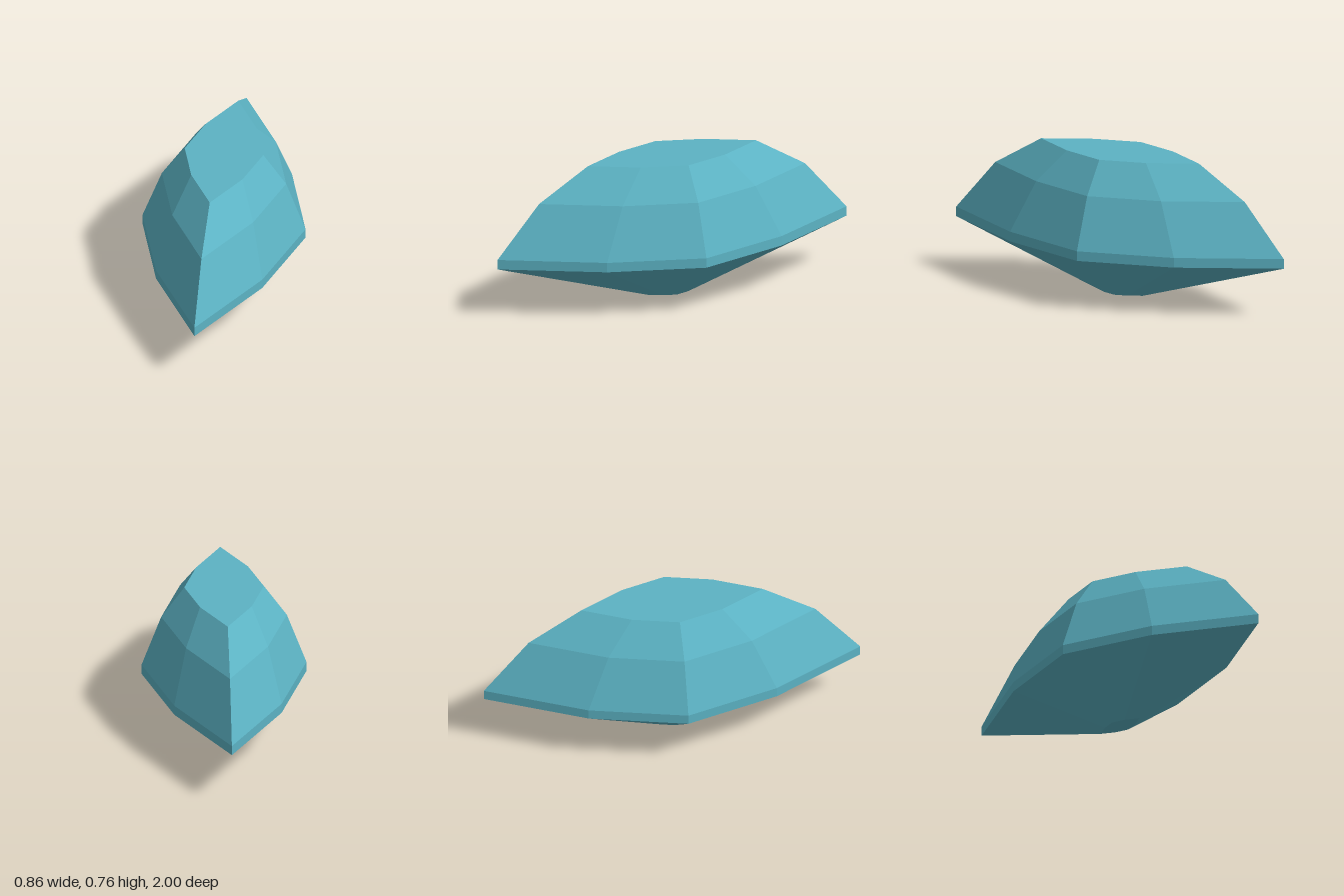
import * as THREE from 'three';

// Marquise outline as [x, z], anticlockwise seen from above
const OUTLINE = [[0, 1], [0.28, 0.5], [0.43, 0], [0.28, -0.5], [0, -1], [-0.28, -0.5], [-0.43, 0], [-0.28, 0.5]];

// The outline scaled about the vertical axis at one height
const ring = (y, scale) => OUTLINE.map(([x, z]) => [x * scale, y, z * scale]);

function facets(name, triangles, material) {
  const geometry = new THREE.BufferGeometry();
  geometry.setAttribute('position', new THREE.Float32BufferAttribute(triangles.flat(), 3));
  geometry.computeVertexNormals();
  const mesh = new THREE.Mesh(geometry, material);
  mesh.name = name;
  return mesh;
}

// Flat facets joining a lower ring to an upper ring
function band(lower, upper) {
  return lower.flatMap((a, i) => {
    const j = (i + 1) % lower.length;
    return [a, lower[j], upper[j], a, upper[j], upper[i]];
  });
}

// Flat cap over a ring, facing up or down
function cap(points, up) {
  const y = points[0][1];
  return points.flatMap((a, i) => {
    const b = points[(i + 1) % points.length];
    return up ? [[0, y, 0], a, b] : [[0, y, 0], b, a];
  });
}

export function createModel() {
  const group = new THREE.Group();
  group.name = 'marquiseGem';
  const material = new THREE.MeshStandardMaterial({ color: 0x5cb3c4, flatShading: true });

  const culet = ring(0, 0.14);
  const girdleLow = ring(0.268, 1);
  const girdleHigh = ring(0.32, 1);
  const crownMid = ring(0.594, 0.762);
  const table = ring(0.762, 0.482);

  group.add(
    facets('culet', cap(culet, false), material),
    facets('pavilion', band(culet, girdleLow), material),
    facets('girdle', band(girdleLow, girdleHigh), material),
    facets('lowerCrown', band(girdleHigh, crownMid), material),
    facets('upperCrown', band(crownMid, table), material),
    facets('table', cap(table, true), material),
  );
  return group;
}
